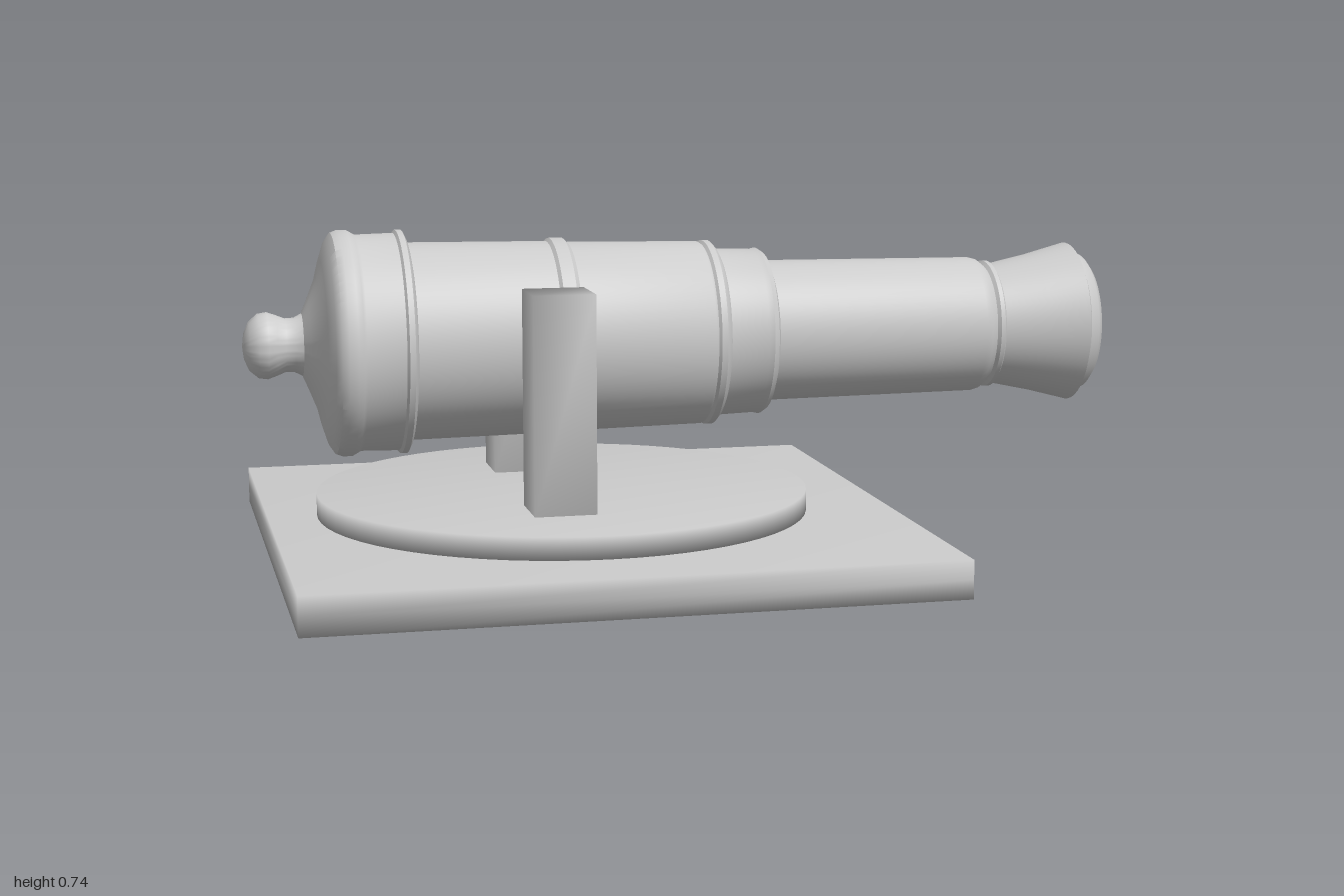
import * as THREE from 'three';
import { mergeVertices, toCreasedNormals } from 'three/addons/utils/BufferGeometryUtils.js';

// Shared corner normals give the slabs and posts soft edges
function softEdges(geometry) {
  geometry.deleteAttribute('normal');
  geometry.deleteAttribute('uv');
  const soft = mergeVertices(geometry, 1e-4);
  soft.computeVertexNormals();
  return soft;
}

export function createModel() {
  const model = new THREE.Group();
  const material = new THREE.MeshStandardMaterial({ color: 0xcccccc });

  function add(name, geometry, x, y, z) {
    const mesh = new THREE.Mesh(geometry, material);
    mesh.name = name;
    mesh.position.set(x, y, z);
    model.add(mesh);
    return mesh;
  }

  // Square base plate and the round turntable on it
  add('basePlate', softEdges(new THREE.BoxGeometry(1.408, 0.085, 1.41, 1, 2, 1)), -0.247, 0.0425, 0);
  add('turntable', softEdges(new THREE.CylinderGeometry(0.561, 0.561, 0.05, 64)), -0.28, 0.11, -0.037);

  // Upright posts on both sides of the barrel
  for (const side of [1, -1]) {
    add(side > 0 ? 'frontPost' : 'backPost',
      softEdges(new THREE.BoxGeometry(0.138, 0.485, 0.14)), -0.335, 0.3755, -0.037 + side * 0.268);
  }

  // Barrel outline as [position along the axis, radius], breech to muzzle
  const lathe = (profile) => {
    const points = profile.map(([along, radius]) => new THREE.Vector2(radius, along));
    const geometry = new THREE.LatheGeometry(points, 64);
    geometry.rotateZ(-Math.PI / 2);
    geometry.scale(1, 1, 0.925);
    return toCreasedNormals(geometry, 0.6);
  };

  const barrel = [
    // knob and neck
    [-1, 0], [-0.996, 0.03], [-0.985, 0.055], [-0.965, 0.072], [-0.945, 0.075],
    [-0.925, 0.068], [-0.905, 0.06], [-0.885, 0.061], [-0.868, 0.07],
    // breech swell and band
    [-0.855, 0.1], [-0.835, 0.15], [-0.825, 0.19], [-0.812, 0.23], [-0.8, 0.248],
    [-0.785, 0.254], [-0.765, 0.254], [-0.752, 0.247], [-0.745, 0.243], [-0.66, 0.245],
    [-0.655, 0.252], [-0.642, 0.252], [-0.635, 0.238], [-0.632, 0.223],
    // first reinforce and ring
    [-0.312, 0.219], [-0.305, 0.226], [-0.275, 0.226], [-0.265, 0.216],
    // second reinforce and ring
    [0.04, 0.211], [0.046, 0.207], [0.052, 0.213], [0.066, 0.213], [0.075, 0.203], [0.08, 0.193],
    [0.168, 0.19], [0.18, 0.193], [0.192, 0.185], [0.2, 0.163],
    // chase and neck ring
    [0.7, 0.158], [0.715, 0.154], [0.73, 0.142], [0.737, 0.149], [0.747, 0.149], [0.752, 0.141],
    // muzzle swell, face and bore
    [0.85, 0.162], [0.945, 0.187], [0.953, 0.17], [0.975, 0.16], [0.988, 0.143], [0.992, 0.122],
    [1, 0.112], [1, 0.08], [0.99, 0.066], [0.93, 0.064], [0.93, 0],
  ];
  add('barrel', lathe(barrel), 0, 0.482, -0.043);

  return model;
}
